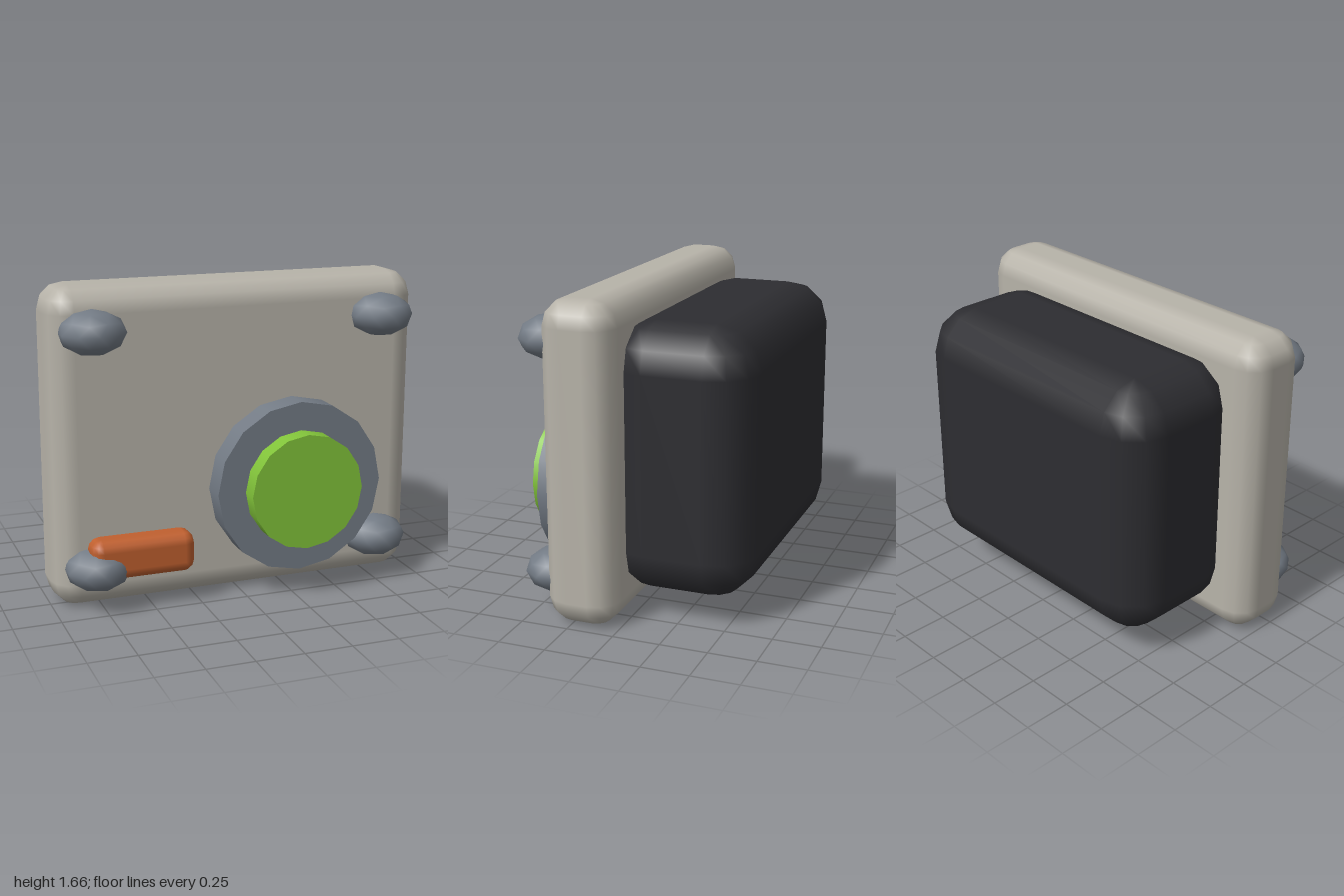
import * as THREE from 'three';

const colours = {
  plate: 0xb7b3a9, steel: 0x747c86, dark: 0x2d2d31, green: 0x82c43a, orange: 0xc0602f,
};

// Box with edges rounded in three even steps: a sphere pulled apart into its eight octants.
function bevelBox(w, h, d, r) {
  const geo = new THREE.SphereGeometry(1, 16, 9);
  const pos = geo.attributes.position, nor = geo.attributes.normal;
  const core = [w / 2 - r, h / 2 - r, d / 2 - r];
  const lat = [90, 90, 60, 30, 0, 0, -30, -60, -90, -90];
  for (let i = 0; i < pos.count; i++) {
    const row = Math.floor(i / 17), col = i % 17;
    const quad = Math.floor(col / 4) % 4;
    const a = THREE.MathUtils.degToRad(quad * 90 + (col % 4) * 30);
    const b = THREE.MathUtils.degToRad(lat[row]);
    const n = [-Math.cos(a) * Math.cos(b), Math.sin(b), Math.sin(a) * Math.cos(b)];
    const pole = row === 0 || row === 9; // centres of the top and bottom faces
    const sx = pole ? 0 : [-1, 1, 1, -1][quad];
    const sz = pole ? 0 : [1, 1, -1, -1][quad];
    const sy = row < 5 ? 1 : -1;
    pos.setXYZ(i, sx * core[0] + n[0] * r, sy * core[1] + n[1] * r, sz * core[2] + n[2] * r);
    nor.setXYZ(i, ...n);
  }
  return geo;
}

export function createModel() {
  const model = new THREE.Group();
  const add = (name, geo, color, x, y, z) => {
    const mesh = new THREE.Mesh(geo, new THREE.MeshStandardMaterial({ color }));
    mesh.name = name;
    mesh.position.set(x, y, z);
    model.add(mesh);
    return mesh;
  };

  // Main slabs
  add('frontPlate', bevelBox(2, 1.665, 0.385, 0.135), colours.plate, 0, 0.8325, 0.1975);
  add('rearCase', bevelBox(1.66, 1.39, 0.77, 0.23), colours.dark, 0, 0.835, -0.245);

  // Round button and its collar, facing forward
  const disc = (name, r, back, front, color) => {
    const geo = new THREE.CylinderGeometry(r, r, front - back, 16).rotateX(Math.PI / 2);
    add(name, geo, color, 0.28, 0.585, (back + front) / 2);
  };
  disc('buttonCollar', 0.455, 0.3, 0.53, colours.steel);
  disc('button', 0.305, 0.45, 0.63, colours.green);

  // Small bar in the lower corner
  add('indicatorBar', bevelBox(0.55, 0.215, 0.2, 0.06), colours.orange, -0.555, 0.2825, 0.4);

  // Flattened bolt heads at the four corners
  const bolt = new THREE.IcosahedronGeometry(0.172, 1)
    .rotateZ(Math.atan(2 / (1 + Math.sqrt(5))))
    .scale(1, 0.67, 1);
  for (const x of [-0.78, 0.78]) {
    for (const y of [0.225, 1.445]) add('cornerBolt', bolt, colours.steel, x, y, 0.39);
  }
  return model;
}
